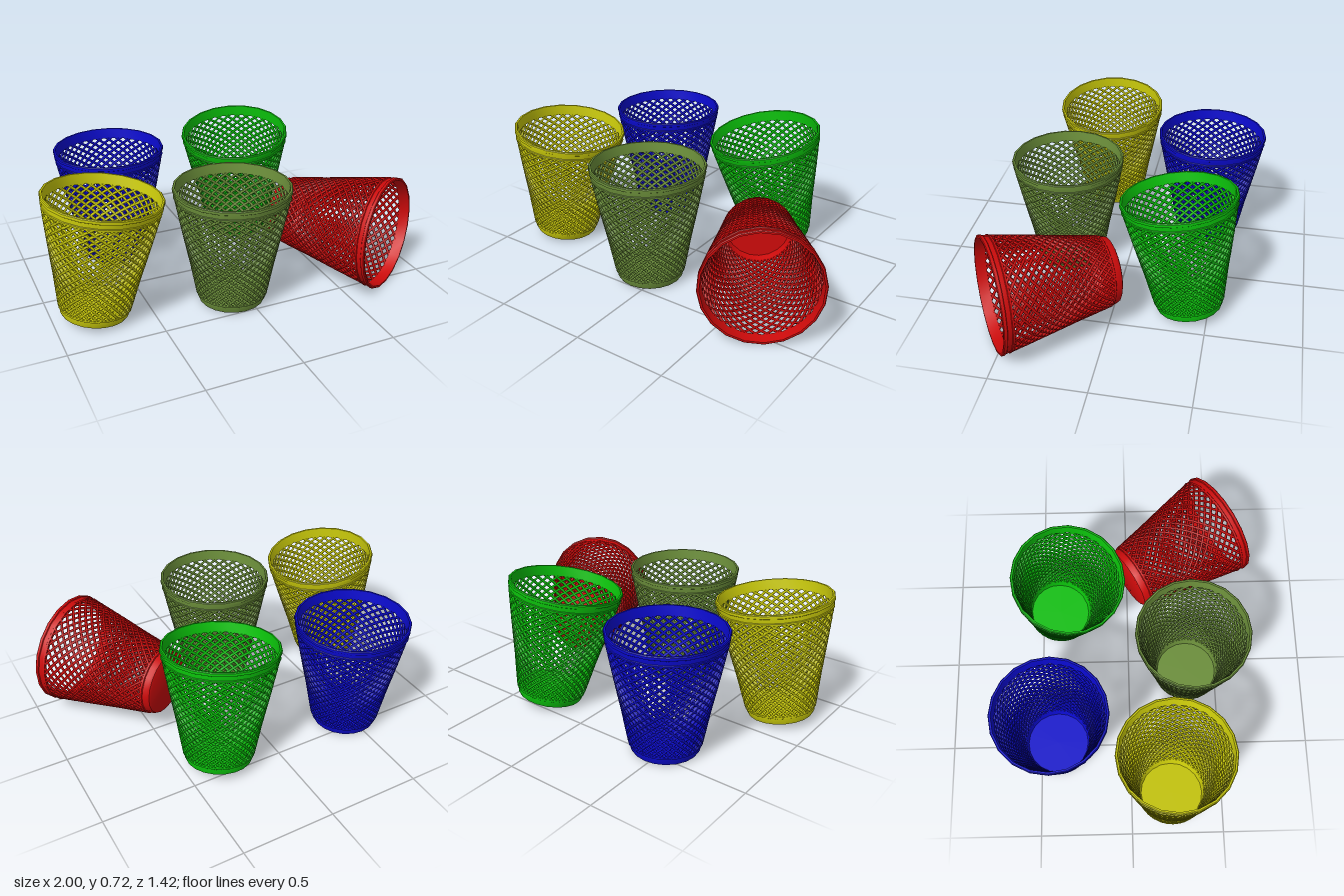
import * as THREE from 'three';
import { mergeGeometries, toCreasedNormals } from 'three/addons/utils/BufferGeometryUtils.js';

const SIDES = 20;      // facets of the rim and base
const STRANDS = 32;    // strands wound each way
const CROSSINGS = 28;  // half rows of diamonds

// One lattice strand winding up the tapered wall
class Strand extends THREE.Curve {
  constructor(direction) {
    super();
    this.turn = direction * CROSSINGS * Math.PI / STRANDS;
  }
  getPoint(t, target = new THREE.Vector3()) {
    const r = THREE.MathUtils.lerp(0.18, 0.289, t);
    const a = this.turn * t;
    return target.set(r * Math.sin(a), THREE.MathUtils.lerp(0.045, 0.6, t), r * Math.cos(a));
  }
  getPointAt(t, target) { return this.getPoint(t, target); }
  getTangentAt(t, target) { return this.getTangent(t, target); }
}

function latticeGeometry() {
  const strands = [];
  for (const direction of [1, -1]) {
    const strand = new THREE.TubeGeometry(new Strand(direction), CROSSINGS, 0.0075, 4, false);
    for (let i = 0; i < STRANDS; i++) {
      strands.push(strand.clone().rotateY(i * 2 * Math.PI / STRANDS));
    }
  }
  return mergeGeometries(strands);
}

function turned(profile) {
  const points = profile.map(([r, y]) => new THREE.Vector2(r, y));
  return toCreasedNormals(new THREE.LatheGeometry(points, SIDES), 0.5);
}

export function createModel() {
  const model = new THREE.Group();
  model.name = 'wasteBaskets';

  // Shared parts: closed base cup, rim band and woven wall
  const parts = {
    base: turned([[0, 0], [0.16, 0], [0.172, 0.006], [0.178, 0.018], [0.182, 0.042],
      [0.188, 0.045], [0.189, 0.055], [0.178, 0.055], [0.168, 0.015], [0, 0.015]]),
    rim: turned([[0.282, 0.59], [0.297, 0.59], [0.299, 0.6], [0.295, 0.603], [0.298, 0.625],
      [0.303, 0.628], [0.303, 0.642], [0.299, 0.646], [0.29, 0.646], [0.282, 0.59]]),
    lattice: latticeGeometry(),
  };

  // Bottom centre and axis direction of each basket
  const baskets = [
    { name: 'oliveBasket', color: 0x6b8e3a, at: [-0.067, 0, 0.335], axis: [0, 1, 0] },
    { name: 'blueBasket', color: 0x0a0acc, at: [-0.483, 0, -0.408], axis: [0, 1, 0] },
    { name: 'yellowBasket', color: 0xc8c80a, at: [-0.785, 0.023, 0.22], axis: [0.132, 0.991, 0] },
    { name: 'greenBasket', color: 0x0abf0a, at: [0.308, 0.03, -0.4], axis: [-0.105, 0.985, 0.138] },
    { name: 'redBasket', color: 0xcc0a0a, at: [0.4, 0.282, 0.003], axis: [0.534, 0.035, 0.845] },
  ];
  const up = new THREE.Vector3(0, 1, 0);
  for (const { name, color, at, axis } of baskets) {
    const basket = new THREE.Group();
    basket.name = name;
    const material = new THREE.MeshStandardMaterial({ color, side: THREE.DoubleSide });
    for (const [part, geometry] of Object.entries(parts)) {
      const mesh = new THREE.Mesh(geometry, material);
      mesh.name = part;
      basket.add(mesh);
    }
    basket.position.set(...at);
    basket.quaternion.setFromUnitVectors(up, new THREE.Vector3(...axis).normalize());
    model.add(basket);
  }
  return model;
}
